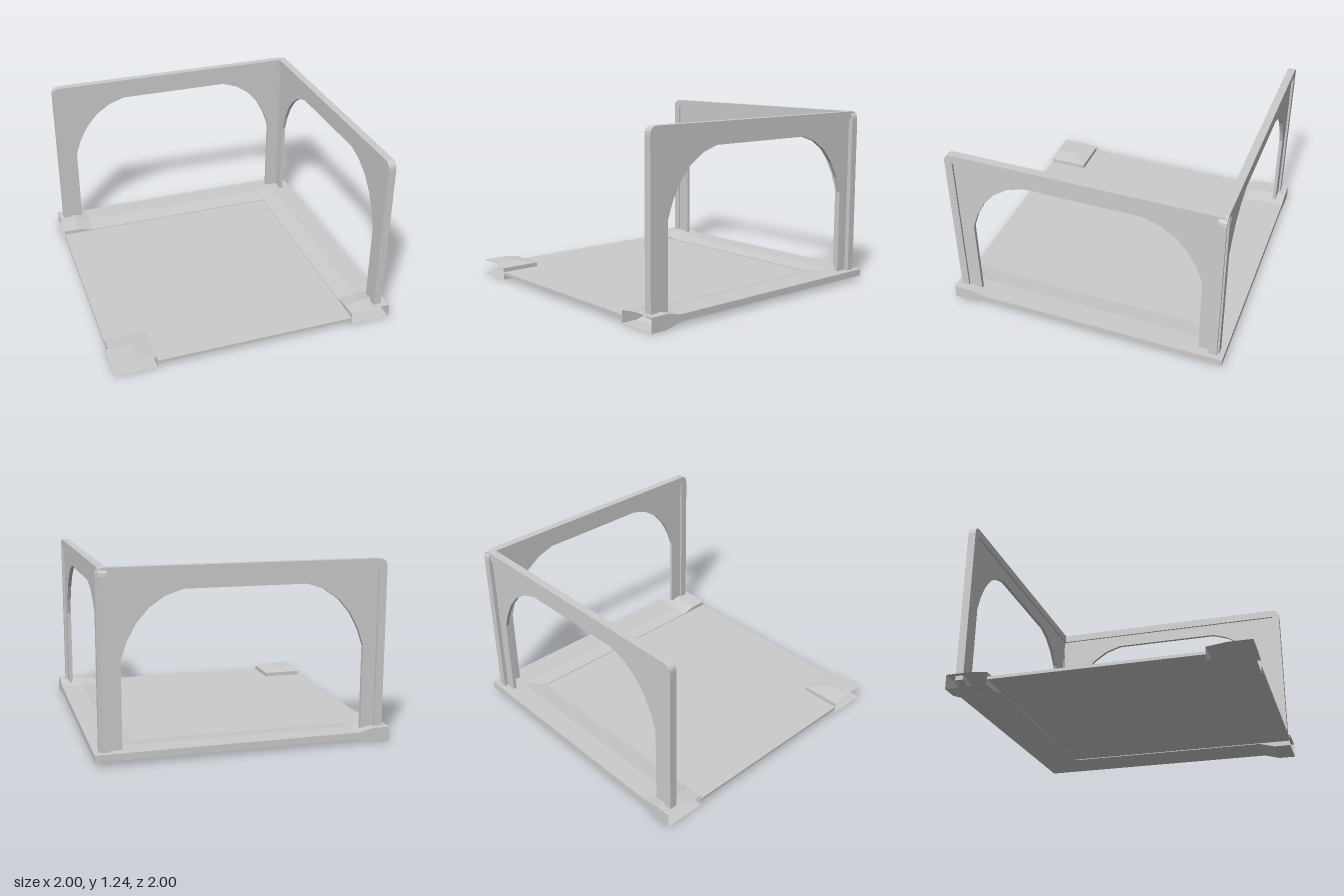
import * as THREE from 'three';

const material = new THREE.MeshStandardMaterial({ color: 0xcccccc, flatShading: true, side: THREE.DoubleSide });

function addMesh(parent, geometry, name) {
  const mesh = new THREE.Mesh(geometry, material);
  mesh.name = name;
  parent.add(mesh);
  return mesh;
}

// Centred slab with a polygon outline
function slab(shape, depth) {
  return new THREE.ExtrudeGeometry(shape, { depth, bevelEnabled: false, curveSegments: 4 }).translate(0, 0, -depth / 2);
}

// Skin between stations; each is a list of [d, y, t] (outward distance, height, run)
function loft(stations, place, flip, closed) {
  const pos = [];
  const n = stations[0].length;
  for (let j = 0; j < stations.length - 1; j++) {
    for (let i = 0; i < (closed ? n : n - 1); i++) {
      const k = (i + 1) % n;
      const a = stations[j][i], b = stations[j][k], c = stations[j + 1][k], e = stations[j + 1][i];
      const order = flip ? [a, c, e, a, b, c] : [a, e, c, a, c, b];
      order.forEach((p) => pos.push(...place(...p)));
    }
  }
  const geometry = new THREE.BufferGeometry();
  geometry.setAttribute('position', new THREE.Float32BufferAttribute(pos, 3));
  geometry.computeVertexNormals();
  return geometry;
}

const LOW = [[1, 0.03], [0.71, 0.03], [0.71, 0.06], [0.84, 0.077], [1, 0.077]];
const HIGH = [[1, 0], [0.71, 0], [0.71, 0.085], [0.84, 0.1], [1, 0.1]];
const at = (section, t) => section.map(([d, y]) => [d, y, t(d)]);

// Arched wall: thick rounded rim with a thinner panel inside it
function archWall(name) {
  const wall = new THREE.Group();
  wall.name = name;
  const w = 0.965, top = 1.24, foot = 0.07, r = 0.055, inner = 0.91;

  const rim = new THREE.Shape();
  rim.moveTo(-w, foot);
  rim.lineTo(-w, top - r);
  rim.quadraticCurveTo(-w, top, -w + r, top);
  rim.lineTo(w - r, top);
  rim.quadraticCurveTo(w, top, w, top - r);
  rim.lineTo(w, foot);
  rim.lineTo(inner, foot);
  rim.lineTo(inner, 1.183);
  rim.lineTo(-inner, 1.183);
  rim.lineTo(-inner, foot);
  addMesh(wall, slab(rim, 0.055), 'wallRim');

  const arch = [[0.815, foot], [0.815, 0.66], [0.775, 0.775], [0.715, 0.885], [0.633, 0.98], [0.53, 1.05], [0.41, 1.09]];
  const outline = [
    [-inner, foot], [-inner, 1.183], [inner, 1.183], [inner, foot],
    ...arch,
    ...arch.map(([x, y]) => [-x, y]).reverse(),
  ];
  const panel = new THREE.Shape(outline.map(([x, y]) => new THREE.Vector2(x, y)));
  addMesh(wall, slab(panel, 0.025), 'archPanel');
  return wall;
}

export function createModel() {
  const model = new THREE.Group();
  model.name = 'floorTileWithArches';

  // Floor plate, notched for the corner pad
  const plan = [[-1, -0.71], [-0.71, -0.71], [-0.71, -1], [0.71, -1], [0.71, 0.71], [-1, 0.71]];
  const floor = new THREE.Shape(plan.map(([x, y]) => new THREE.Vector2(x, y)));
  const floorMesh = addMesh(model, slab(floor, 0.02), 'floorPlate');
  floorMesh.rotation.x = -Math.PI / 2;
  floorMesh.position.y = 0.045;

  // Curbs along two sides, mitred at the shared corner and flared at the open ends
  const curb = [at(LOW, (d) => -d), at(LOW, () => 0.77), at(HIGH, () => 0.88), at(HIGH, () => 1)];
  addMesh(model, loft(curb, (d, y, t) => [d, y, t], false, true), 'leftCurb');
  addMesh(model, loft(curb, (d, y, t) => [-t, y, -d], true, true), 'backCurb');

  // Hollow pad on the free corner, made of two mitred halves
  const pad = [at(HIGH, (d) => d), at(HIGH, () => 1)];
  const cornerPad = new THREE.Group();
  cornerPad.name = 'cornerPad';
  addMesh(cornerPad, loft(pad, (d, y, t) => [-d, y, t], true, false), 'padSideHalf');
  addMesh(cornerPad, loft(pad, (d, y, t) => [-t, y, d], false, false), 'padFrontHalf');
  model.add(cornerPad);

  // Two arched walls meeting at the back corner
  const backWall = archWall('backWall');
  backWall.position.z = -0.925;
  const leftWall = archWall('leftWall');
  leftWall.rotation.y = -Math.PI / 2;
  leftWall.position.x = 0.922;
  model.add(backWall, leftWall);

  return model;
}
